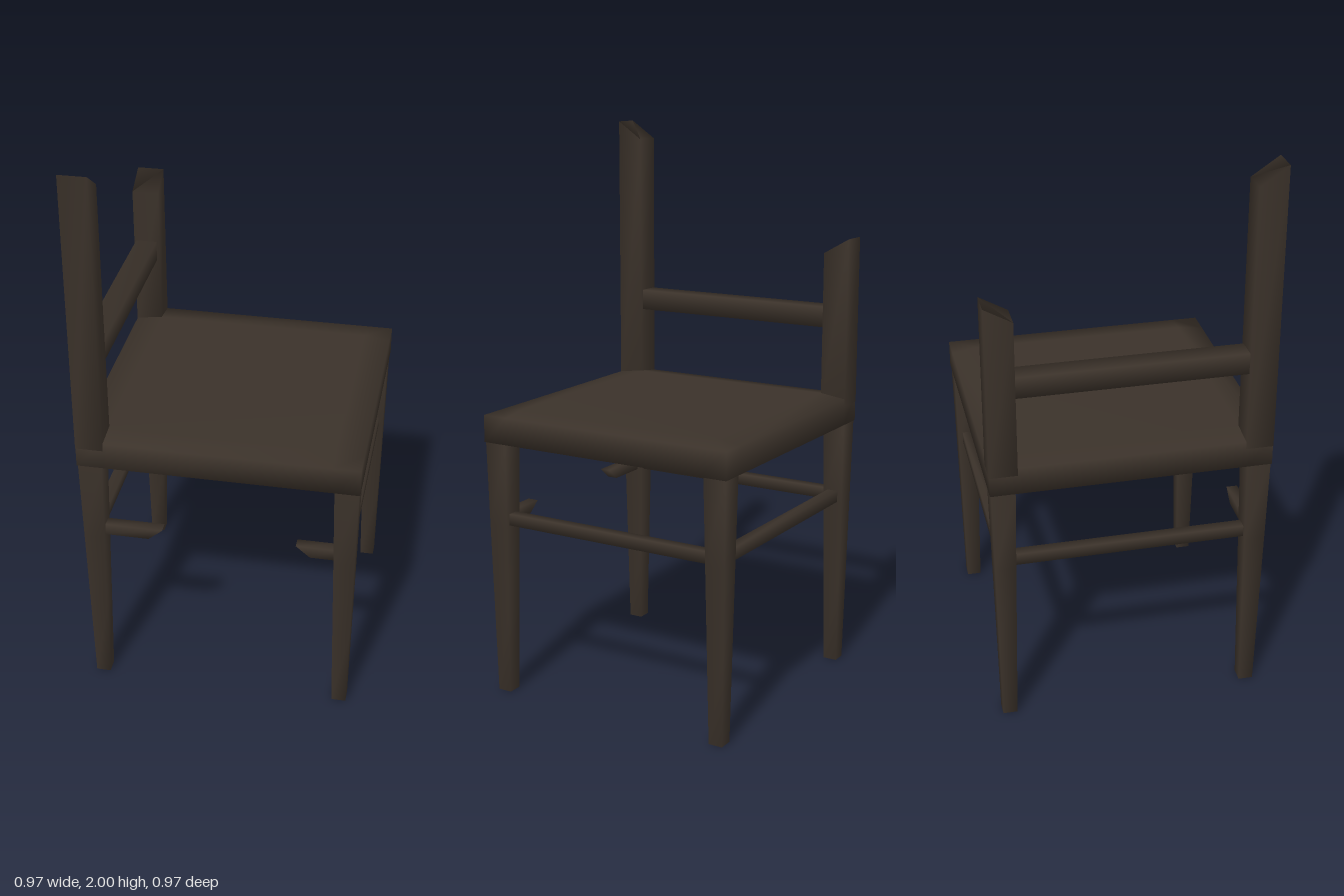
import * as THREE from 'three';
import { mergeVertices } from 'three/addons/utils/BufferGeometryUtils.js';

const darkWood = new THREE.MeshStandardMaterial({ color: 0x3b322a });
darkWood.name = 'darkWood';

// Box with shared corners (soft normals); reshape(v) moves each vertex.
function softBox(name, size, center, segments = [1, 1, 1], reshape = () => {}) {
  let geometry = new THREE.BoxGeometry(...size, ...segments);
  geometry.deleteAttribute('normal');
  geometry.deleteAttribute('uv');
  geometry.translate(...center);
  const p = geometry.attributes.position;
  const v = new THREE.Vector3();
  for (let i = 0; i < p.count; i++) {
    v.fromBufferAttribute(p, i);
    reshape(v);
    p.setXYZ(i, v.x, v.y, v.z);
  }
  geometry = mergeVertices(geometry, 1e-4);
  geometry.computeVertexNormals();
  const mesh = new THREE.Mesh(geometry, darkWood);
  mesh.name = name;
  return mesh;
}

export function createModel() {
  const chair = new THREE.Group();
  chair.name = 'brokenChair';
  const leg = 0.44; // leg centre offset from the middle

  // Seat slab with a gently lowered rim
  chair.add(softBox('seat', [0.97, 0.11, 0.97], [0, 0.985, 0], [3, 1, 3], (v) => {
    const rim = Math.max(Math.abs(v.x), Math.abs(v.z)) > 0.4;
    if (Math.abs(v.x) < 0.4) v.x = Math.sign(v.x) * 0.39;
    if (Math.abs(v.z) < 0.4) v.z = Math.sign(v.z) * 0.39;
    if (v.y > 1) v.y = rim ? 1.027 : 1.04;
  }));

  // Four tapered legs
  for (const sx of [-1, 1]) for (const sz of [-1, 1]) {
    chair.add(softBox('leg', [0.08, 0.94, 0.08], [sx * leg, 0.47, sz * leg], [1, 3, 1], (v) => {
      const width = THREE.MathUtils.lerp(0.64, 1.04, v.y / 0.94);
      v.x = sx * leg + (v.x - sx * leg) * width;
      v.z = sz * leg + (v.z - sz * leg) * width;
    }));
  }

  // Whole stretchers on both sides and along z = -leg
  for (const sx of [-1, 1]) {
    chair.add(softBox('sideStretcher', [0.04, 0.042, 0.83], [sx * leg, 0.652, 0]));
  }
  chair.add(softBox('rearStretcher', [0.83, 0.042, 0.04], [0, 0.652, -leg]));

  // Snapped front stretcher: two stubs with slanted ends
  for (const [side, tip] of [[-1, -0.2], [1, 0.27]]) {
    const root = side * 0.415;
    chair.add(softBox('brokenStretcher', [Math.abs(root - tip), 0.042, 0.04],
      [(root + tip) / 2, 0.652, leg], [1, 1, 1], (v) => {
        if (Math.abs(v.x - tip) < 0.01 && v.y < 0.652) v.x += side * 0.05;
      }));
  }

  // Back posts, snapped at different heights with slanted tops
  for (const [sz, outer, inner] of [[1, 2.0, 1.935], [-1, 1.61, 1.555]]) {
    const base = 1.0;
    chair.add(softBox('backPost', [0.096, outer - base, 0.096],
      [-0.438, (outer + base) / 2, sz * 0.438], [1, 1, 1], (v) => {
        if (v.y > 1.2 && Math.abs(v.z) < 0.438) v.y = inner;
      }));
  }

  // Remaining back rail
  chair.add(softBox('backRail', [0.077, 0.075, 0.81], [-0.44, 1.32, 0]));

  return chair;
}
